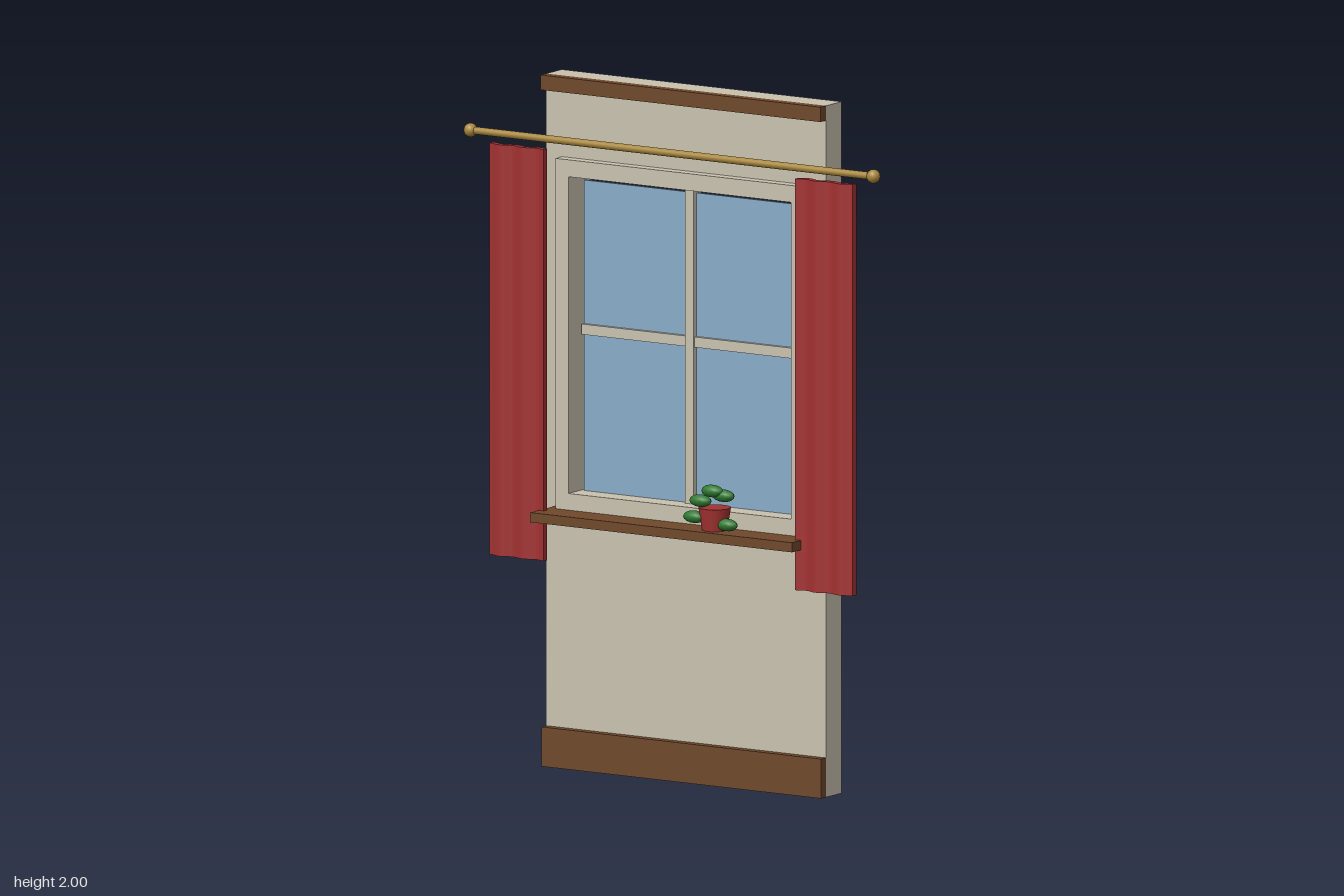
import * as THREE from 'three';

const mat = (name, color, side = THREE.FrontSide) => {
  const m = new THREE.MeshStandardMaterial({ color, side });
  m.name = name;
  return m;
};

export function createModel() {
  const plaster = mat('plaster', 0xcac2b0);
  const wood = mat('brown wood', 0x70482b);
  const glass = mat('blue glass', 0x8aacca);
  const cloth = mat('red cloth', 0xa43232);
  const brass = mat('brass', 0xa8863c);
  const leafGreen = mat('leaf green', 0x2f7a30);

  const model = new THREE.Group();
  model.name = 'windowWall';

  const add = (name, geometry, material, x = 0, y = 0, z = 0, parent = model) => {
    const mesh = new THREE.Mesh(geometry, material);
    mesh.name = name;
    mesh.position.set(x, y, z);
    parent.add(mesh);
    return mesh;
  };
  // Box given by its minimum and maximum on each axis
  const box = (name, material, x0, x1, y0, y1, z0, z1) =>
    add(name, new THREE.BoxGeometry(x1 - x0, y1 - y0, z1 - z0), material,
      (x0 + x1) / 2, (y0 + y1) / 2, (z0 + z1) / 2);

  const rect = (Type, x, y0, y1) => new Type([
    new THREE.Vector2(-x, y0), new THREE.Vector2(x, y0),
    new THREE.Vector2(x, y1), new THREE.Vector2(-x, y1),
  ]);
  // Flat panel with the window opening cut through it
  const openPanel = (x, y0, y1, depth) => {
    const shape = rect(THREE.Shape, x, y0, y1);
    shape.holes.push(rect(THREE.Path, 0.38, 0.8, 1.716));
    return new THREE.ExtrudeGeometry(shape, { depth, bevelEnabled: false });
  };

  // Wall and window surround
  add('wall', openPanel(0.478, 0, 2, 0.08), plaster, 0, 0, -0.104);
  add('windowFrame', openPanel(0.424, 0.75, 1.765, 0.034), plaster, 0, 0, -0.024);

  // Glass and glazing bars
  box('windowGlass', glass, -0.371, 0.371, 0.8, 1.698, -0.064, -0.056);
  box('verticalBar', plaster, -0.015, 0.015, 0.8, 1.716, -0.08, -0.04);
  box('horizontalBar', plaster, -0.371, 0.371, 1.253, 1.283, -0.075, -0.045);

  // Wooden trim
  box('windowSill', wood, -0.448, 0.446, 0.724, 0.752, -0.024, 0.104);
  box('baseboard', wood, -0.478, 0.478, 0, 0.114, -0.024, 0.001);
  box('crownTrim', wood, -0.478, 0.478, 1.957, 2, -0.024, 0.005);

  // Curtain rod with round ends
  add('curtainRod', new THREE.CylinderGeometry(0.011, 0.011, 1.38, 12), brass, 0, 1.827, 0.049)
    .rotation.z = Math.PI / 2;
  for (const s of [-1, 1]) {
    add(s > 0 ? 'leftRodEnd' : 'rightRodEnd', new THREE.SphereGeometry(0.02, 16, 12), brass,
      s * 0.688, 1.827, 0.049);
  }

  // Curtains: a wavy strip seen from above, extruded downwards
  const curtain = (s) => {
    const front = [], back = [];
    const steps = 28;
    for (let i = 0; i <= steps; i++) {
      const u = 0.19 * i / steps;
      const wave = -0.006 * Math.cos(u * Math.PI * 2 / 0.08);
      const x = s * (0.62 - u);
      front.push(new THREE.Vector2(x, -(0.059 + wave)));
      back.unshift(new THREE.Vector2(x, -(0.04 + wave)));
    }
    const geo = new THREE.ExtrudeGeometry(new THREE.Shape([...front, ...back]),
      { depth: 1.19, bevelEnabled: false });
    return geo.rotateX(-Math.PI / 2);
  };
  add('leftCurtain', curtain(1), cloth, 0, 0.607, 0);
  add('rightCurtain', curtain(-1), cloth, 0, 0.607, 0);

  // Potted plant on the sill
  const plant = new THREE.Group();
  plant.name = 'pottedPlant';
  plant.position.set(0.145, 0.752, 0.048);
  model.add(plant);
  add('pot', new THREE.CylinderGeometry(0.047, 0.037, 0.065, 16), cloth, 0, 0.0325, 0, plant);
  const leaves = [
    [-0.005, 0.112, 0.004], [0.026, 0.1, -0.006], [-0.034, 0.084, 0.022],
    [-0.054, 0.036, 0.024], [0.048, 0.02, 0.01],
  ];
  leaves.forEach(([x, y, z], i) => {
    const leaf = add('leaf' + (i + 1), new THREE.SphereGeometry(1, 12, 8), leafGreen, x, y, z, plant);
    leaf.scale.set(0.036, 0.018, 0.02);
  });

  return model;
}
